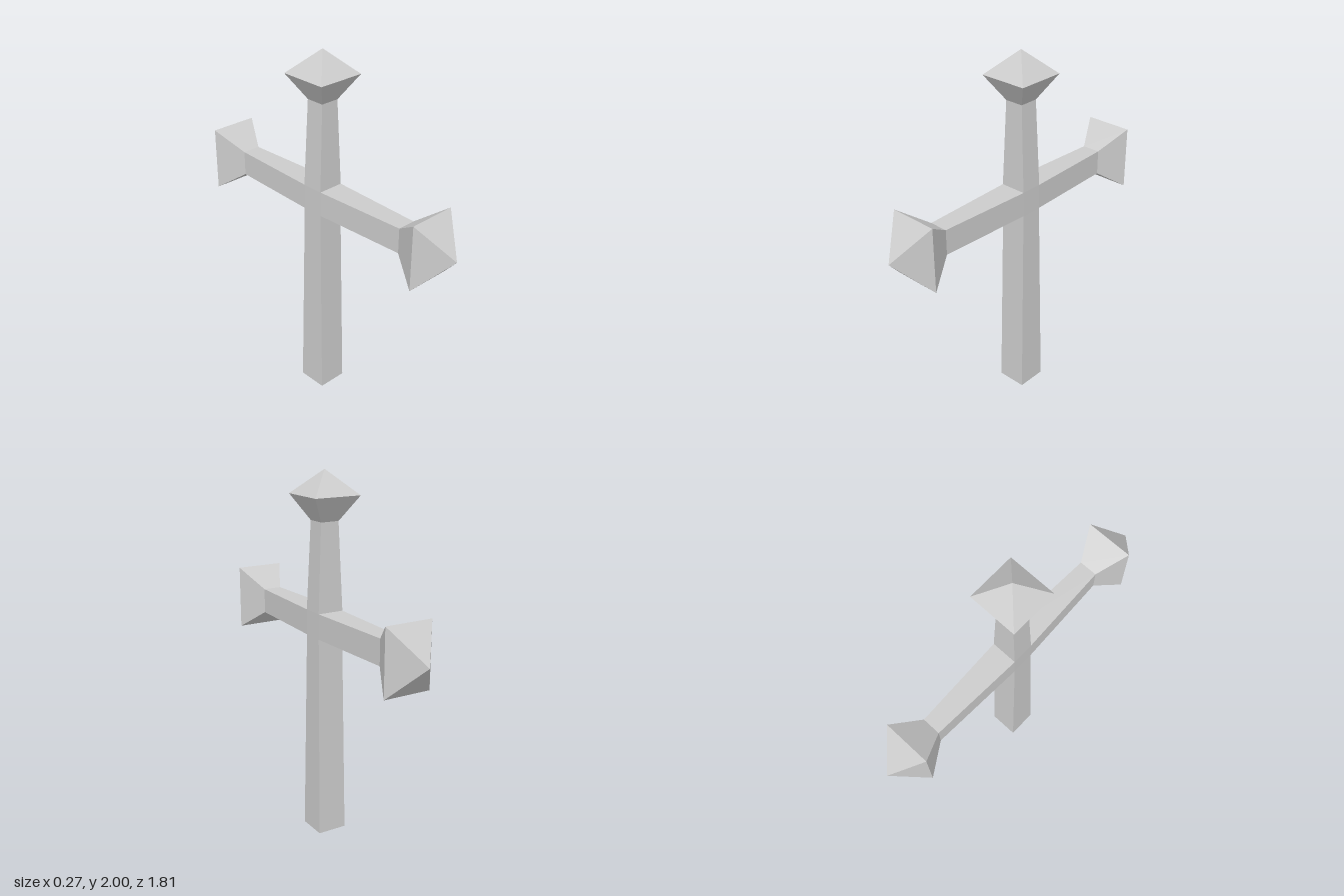
import * as THREE from 'three';

const CENTRE_Y = 1.197;
const HX = 0.073, HY = 0.069, HZ = 0.061; // half sizes of the crossing

// Lofts rectangular sections [distance, halfX, halfZ] along +y
function limbGeometry(sections) {
  const signs = [[1, 1], [1, -1], [-1, -1], [-1, 1]];
  const point = ([y, hx, hz], k) => [signs[k % 4][0] * hx, y, signs[k % 4][1] * hz];
  const pos = [];
  for (let i = 0; i < sections.length - 1; i++) {
    const lo = sections[i], hi = sections[i + 1];
    for (let k = 0; k < 4; k++) {
      const a = point(lo, k), b = point(lo, k + 1), c = point(hi, k + 1), d = point(hi, k);
      pos.push(...a, ...b, ...c);
      if (hi[1] > 0) pos.push(...a, ...c, ...d);
    }
  }
  const geo = new THREE.BufferGeometry();
  geo.setAttribute('position', new THREE.Float32BufferAttribute(pos, 3));
  geo.computeVertexNormals();
  return geo;
}

export function createModel() {
  const group = new THREE.Group();
  const material = new THREE.MeshStandardMaterial({ color: 0xcccccc, flatShading: true });

  const addLimb = (name, sections, rotX) => {
    const mesh = new THREE.Mesh(limbGeometry(sections), material);
    mesh.name = name;
    mesh.position.y = CENTRE_Y;
    mesh.rotation.x = rotX;
    group.add(mesh);
  };

  // Upright: tapered lower shaft with a flat base, upper shaft with a pointed head
  addLimb('lowerShaft', [[HY, HX, HZ], [CENTRE_Y, 0.083, 0.083], [CENTRE_Y, 0, 0]], Math.PI);
  addLimb('upperShaft', [[HY, HX, HZ], [0.543, 0.052, 0.052], [0.676, 0.133, 0.133], [0.803, 0, 0]], 0);

  // Crossarms: narrowing in x only, with taller pointed ends
  const arm = [[HZ, HX, HY], [0.588, 0.051, HY], [0.742, 0.133, 0.177], [0.905, 0, 0]];
  addLimb('frontArm', arm, Math.PI / 2);
  addLimb('backArm', arm, -Math.PI / 2);

  // Side faces of the crossing
  for (const s of [1, -1]) {
    const face = new THREE.Mesh(new THREE.PlaneGeometry(2 * HZ, 2 * HY), material);
    face.name = s > 0 ? 'leftCrossingFace' : 'rightCrossingFace';
    face.position.set(s * HX, CENTRE_Y, 0);
    face.rotation.y = s * Math.PI / 2;
    group.add(face);
  }
  return group;
}
